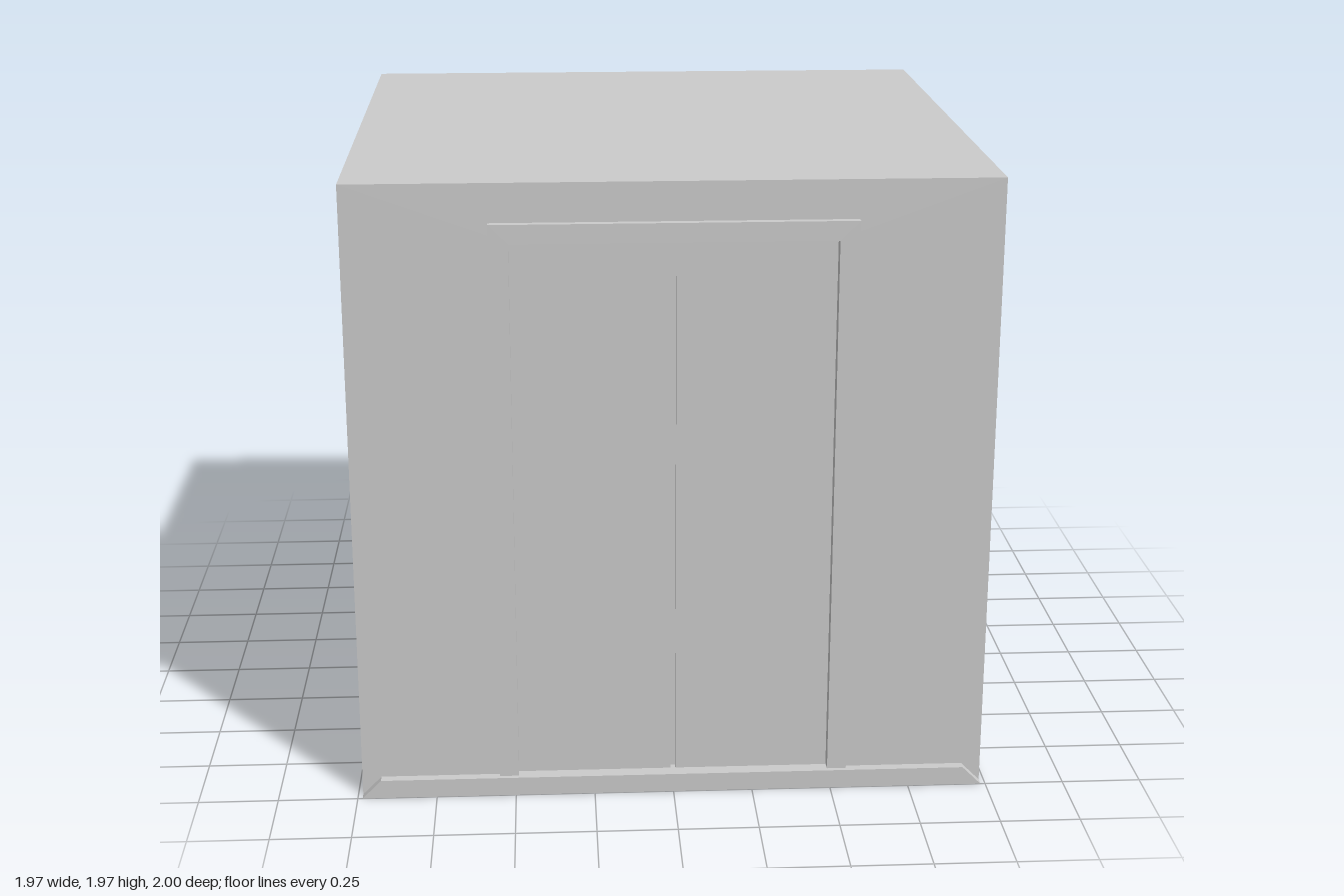
import * as THREE from 'three';

const W = 0.985, H = 1.97;           // half width and height of the cabin
const BACK = -1, WALL = 0.97;        // rear and front wall planes
const FLOOR = 0.06, DOOR_TOP = 1.79, DOOR_X = 0.49;
const RECESS = 0.935;                // plane behind the door leaves

const polygon = (points) => new THREE.Shape(points.map(([x, y]) => new THREE.Vector2(x, y)));

export function createModel() {
  const group = new THREE.Group();
  const material = new THREE.MeshStandardMaterial({ color: 0xcccccc, flatShading: true });

  const add = (name, geometry, x = 0, y = 0, z = 0) => {
    const mesh = new THREE.Mesh(geometry, material);
    mesh.name = name;
    mesh.position.set(x, y, z);
    group.add(mesh);
  };
  const extrude = (shape, depth) =>
    new THREE.ExtrudeGeometry(shape, { depth, bevelEnabled: false });

  // Cabin shell: a box without its front face
  const shell = new THREE.BoxGeometry(2 * W, H, WALL - BACK);
  const index = Array.from(shell.index.array);
  index.splice(24, 6);
  shell.setIndex(index);
  shell.clearGroups();
  add('cabinShell', shell, 0, H / 2, (WALL + BACK) / 2);

  // Front wall with the doorway cut out
  const wall = polygon([[-W, 0], [W, 0], [W, H], [-W, H]]);
  wall.holes.push(polygon([
    [-DOOR_X, FLOOR], [-DOOR_X, DOOR_TOP], [DOOR_X, DOOR_TOP], [DOOR_X, FLOOR],
  ]));
  add('frontWall', new THREE.ShapeGeometry(wall), 0, 0, WALL);

  // Door frame: jambs and lintel, reaching back into the recess
  const FX = 0.55, FTOP = 1.85, FBOT = 0.065;
  const frame = polygon([
    [-FX, FBOT], [-DOOR_X, FBOT], [-DOOR_X, DOOR_TOP], [DOOR_X, DOOR_TOP],
    [DOOR_X, FBOT], [FX, FBOT], [FX, FTOP], [-FX, FTOP],
  ]);
  add('doorFrame', extrude(frame, 0.995 - RECESS), 0, 0, RECESS);

  // Two sliding leaves with a narrow slot between them
  const gap = 0.008, leaf = DOOR_X - gap, leafH = DOOR_TOP - FLOOR;
  for (const [name, side] of [['leftDoor', 1], ['rightDoor', -1]]) {
    add(name, new THREE.BoxGeometry(leaf, leafH, 0.02),
      side * (gap + leaf / 2), FLOOR + leafH / 2, RECESS + 0.01);
  }
  add('slotBacking', new THREE.PlaneGeometry(0.1, leafH), 0, FLOOR + leafH / 2, RECESS);

  // Threshold under the doors
  add('threshold', new THREE.BoxGeometry(2 * DOOR_X, 0.02, WALL - RECESS),
    0, FLOOR - 0.01, (WALL + RECESS) / 2);

  // Skirting strip with sloping ends
  const skirting = polygon([[-W, 0], [W, 0], [W - 0.06, FLOOR], [-W + 0.06, FLOOR]]);
  add('skirting', extrude(skirting, 1 - WALL), 0, 0, WALL);

  return group;
}
